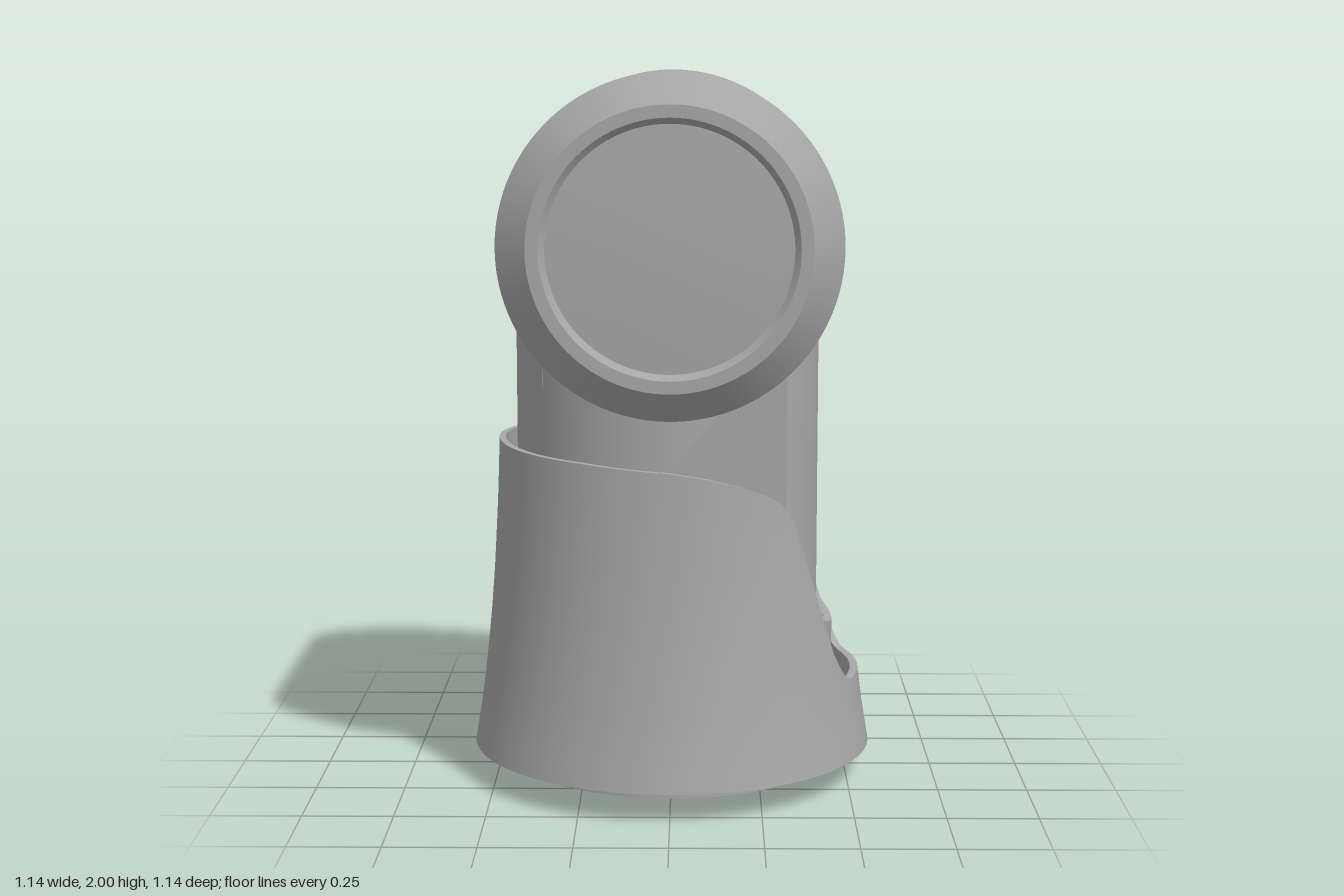
import * as THREE from 'three';
import { toCreasedNormals } from 'three/addons/utils/BufferGeometryUtils.js';
import { ParametricGeometry } from 'three/addons/geometries/ParametricGeometry.js';

const grey = new THREE.MeshStandardMaterial({ color: 0xa8a8a8, side: THREE.DoubleSide });
grey.name = 'satin grey';

// Slanted plane on which the upper arm turns
const joint = (x) => 0.84 - 0.87 * x;

// Piecewise linear lookup in a list of [input, output] pairs
function lookup(table, v) {
  for (let i = 1; i < table.length; i++) {
    const [a, fa] = table[i - 1], [b, fb] = table[i];
    if (v <= b) return fa + (fb - fa) * Math.max(0, (v - a) / (b - a));
  }
  return table[table.length - 1][1];
}

// Flared skirt: outer radius by height, rim height by angle from the notch
const flare = [[0.085, 0.568], [0.2, 0.549], [0.3, 0.536], [0.45, 0.52], [0.6, 0.508], [0.8, 0.497], [0.97, 0.491]];
const rim = [[0, 0.3], [19, 0.3], [23, 0.312], [27, 0.35], [30, 0.39], [33, 0.45], [39, 0.59], [46, 0.75],
  [49, 0.81], [53, 0.846], [58, 0.87], [66, 0.897], [78, 0.925], [90, 0.943], [120, 0.96], [180, 0.972]];

function skirtGeometry() {
  const steps = 14, nv = 2 * steps + 2;
  return toCreasedNormals(new ParametricGeometry((u, v, p) => {
    const k = Math.round(v * nv);
    const inner = k > steps && k < nv;
    const t = k === nv ? 0 : inner ? (nv - 1 - k) / steps : k / steps;
    const angle = u * Math.PI * 2;
    const deg = u * 360;
    const top = lookup(rim, deg > 180 ? 360 - deg : deg);
    const y = 0.085 + (top - 0.085) * t;
    const r = lookup(flare, y) - (inner ? lookup([[0.085, 0.05], [0.3, 0.022], [0.97, 0.018]], y) : 0);
    p.set(Math.cos(angle) * r, y, -Math.sin(angle) * r);
  }, 180, nv), 0.5);
}

// Upright cylinder whose top is trimmed by the joint plane
function trimmedCylinder(r, bottom, limit) {
  const g = new THREE.CylinderGeometry(r, r, 1, 96);
  const pos = g.attributes.position;
  for (let i = 0; i < pos.count; i++) {
    pos.setY(i, pos.getY(i) > 0 ? Math.min(limit, joint(pos.getX(i))) : bottom);
  }
  return toCreasedNormals(g, 0.5);
}

// Upper arm: round column with flat front and back, standing on the joint plane
function armGeometry() {
  const half = 0.266, rr = 0.415, rl = 0.44;
  const ar = Math.asin(half / rr), al = Math.asin(half / rl);
  const s = new THREE.Shape();
  s.absarc(0, 0, rr, -ar, ar, false);
  s.absarc(0, 0, rl, Math.PI - al, Math.PI + al, false);
  s.closePath();
  const g = new THREE.ExtrudeGeometry(s, { depth: 1.54, bevelEnabled: false, curveSegments: 32 });
  g.rotateX(-Math.PI / 2);
  const pos = g.attributes.position;
  for (let i = 0; i < pos.count; i++) {
    if (pos.getY(i) < 0.5) pos.setY(i, joint(pos.getX(i)) - 0.005);
  }
  return toCreasedNormals(g, 0.5);
}

// Front cheek: curved panel with a slanted right edge and the step behind it
const cheekEdge = (y) => Math.min(0.3, (y - 0.94) / 1.2);
const cheekY = (v) => 0.8 + 0.55 * v;
const cheekZ = (x) => Math.sqrt(0.44 ** 2 - x * x);

const cheekFace = () => new ParametricGeometry((u, v, p) => {
  const y = cheekY(v);
  const x = -0.36 + (cheekEdge(y) + 0.36) * u;
  p.set(x, y, cheekZ(x));
}, 24, 16);

const cheekStep = () => new ParametricGeometry((u, v, p) => {
  const y = cheekY(v);
  const x = cheekEdge(y);
  p.set(x, y, cheekZ(x) + (0.25 - cheekZ(x)) * u);
}, 1, 16);

// Head: horizontal drum with chamfered front and shallow recessed face
function headGeometry() {
  const profile = [[0, -0.266], [0.46, -0.266], [0.46, 0.47], [0.376, 0.546], [0.342, 0.546],
    [0.326, 0.53], [0.2, 0.537], [0, 0.54]].map(([r, z]) => new THREE.Vector2(r, z));
  const g = new THREE.LatheGeometry(profile, 96);
  g.rotateX(Math.PI / 2);
  g.translate(0, 1.54, 0);
  return toCreasedNormals(g, 0.4);
}

export function createModel() {
  const model = new THREE.Group();
  const add = (name, geometry) => {
    const mesh = new THREE.Mesh(geometry, grey);
    mesh.name = name;
    model.add(mesh);
  };

  const foot = new THREE.CylinderGeometry(0.32, 0.32, 0.05, 96);
  foot.translate(0, 0.025, 0);
  add('foot', foot);
  add('basePlinth', trimmedCylinder(0.46, 0.04, 0.75));
  add('lowerColumn', trimmedCylinder(0.44, 0.06, 2));
  add('skirt', skirtGeometry());
  add('upperArm', armGeometry());
  add('frontCheek', cheekFace());
  add('frontCheekStep', cheekStep());
  add('head', headGeometry());
  return model;
}
